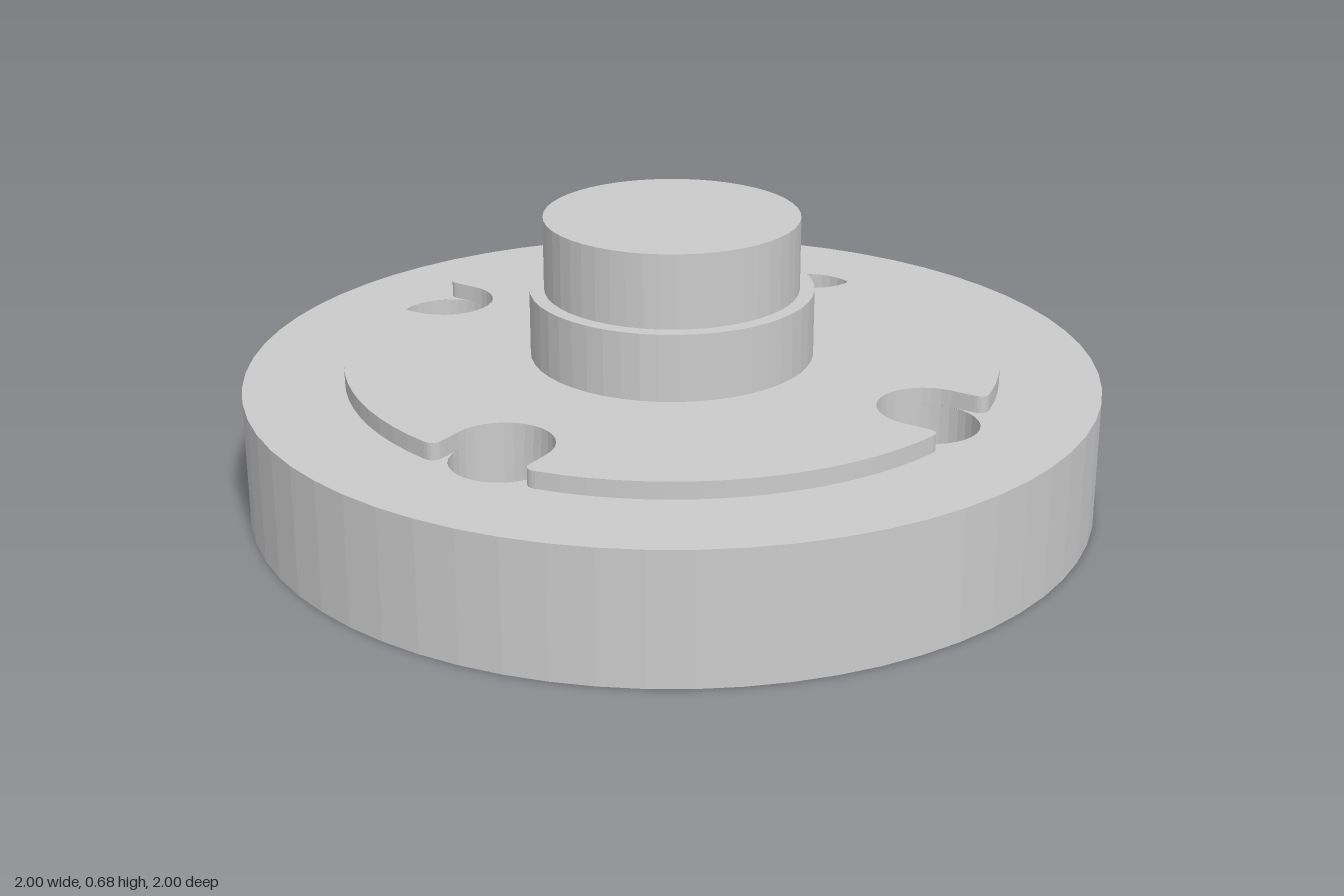
import * as THREE from 'three';

const TOP = 0.305, PLATE_TOP = 0.345, HOLE_FLOOR = 0.1;
const R_PLATE = 0.765, R_HOLE = 0.115, HOLE_DIST = 0.67, FILLET = 0.03;
const ANGLES = [0, 1, 2, 3].map(k => THREE.MathUtils.degToRad(9.9 + 90 * k));

const material = new THREE.MeshStandardMaterial({ color: 0xcccccc, flatShading: true });

function add(group, name, geometry) {
  const mesh = new THREE.Mesh(geometry, material);
  mesh.name = name;
  group.add(mesh);
  return mesh;
}

function lathe(profile, segments) {
  return new THREE.LatheGeometry(profile.map(([x, y]) => new THREE.Vector2(x, y)), segments);
}

// Half outline of a notch: plate rim, rounded corner, then straight side to the hole
function notchSide(side) {
  const corner = Math.sqrt(R_PLATE ** 2 - R_HOLE ** 2);
  const vRim = R_HOLE + FILLET;
  const curve = new THREE.QuadraticBezierCurve(
    new THREE.Vector2(Math.sqrt(R_PLATE ** 2 - vRim ** 2), side * vRim),
    new THREE.Vector2(corner, side * R_HOLE),
    new THREE.Vector2(corner - FILLET, side * R_HOLE));
  return curve.getPoints(6);
}

// Disc outline with four round-ended notches
function plateShape() {
  const points = [];
  const origin = new THREE.Vector2();
  const half = Math.asin((R_HOLE + FILLET) / R_PLATE);
  for (const a of ANGLES) {
    const notch = notchSide(-1);
    for (let i = 0; i <= 16; i++) {
      const t = -Math.PI / 2 - Math.PI * i / 16;
      notch.push(new THREE.Vector2(HOLE_DIST + R_HOLE * Math.cos(t), R_HOLE * Math.sin(t)));
    }
    notch.push(...notchSide(1).reverse());
    notch.forEach(p => points.push(p.rotateAround(origin, a)));
    const sweep = Math.PI / 2 - 2 * half;
    for (let i = 1; i < 16; i++) {
      const t = a + half + sweep * i / 16;
      points.push(new THREE.Vector2(R_PLATE * Math.cos(t), R_PLATE * Math.sin(t)));
    }
  }
  return new THREE.Shape(points);
}

export function createModel() {
  const model = new THREE.Group();
  model.name = 'flangedHub';

  // Thick disc: recess in the underside, bottom ring and outer wall
  add(model, 'baseDisc', lathe([[0, 0.243], [0.5, 0.243], [0.5, 0], [1, 0], [1, TOP]], 64));

  // Upper face of the disc, pierced by the four holes
  const face = new THREE.Shape().absarc(0, 0, 1, 0, Math.PI * 2);
  for (const a of ANGLES) {
    face.holes.push(new THREE.Path().absarc(
      HOLE_DIST * Math.cos(a), HOLE_DIST * Math.sin(a), R_HOLE, 0, Math.PI * 2, true));
  }
  add(model, 'baseTopFace', new THREE.ShapeGeometry(face, 32).rotateX(-Math.PI / 2).translate(0, TOP, 0));

  // Blind holes
  for (const a of ANGLES) {
    const hole = add(model, 'blindHole', lathe([[R_HOLE, TOP], [R_HOLE, HOLE_FLOOR], [0, HOLE_FLOOR]], 32));
    hole.position.set(HOLE_DIST * Math.cos(a), 0, -HOLE_DIST * Math.sin(a));
  }

  // Thin raised plate with notches opening outward from the holes
  add(model, 'raisedPlate', new THREE.ExtrudeGeometry(plateShape(), { depth: PLATE_TOP - TOP, bevelEnabled: false })
    .rotateX(-Math.PI / 2).translate(0, TOP, 0));

  // Stepped central hub
  add(model, 'hub', lathe([[0.332, PLATE_TOP], [0.332, 0.503], [0.298, 0.503], [0.298, 0.677], [0, 0.677]], 48));

  return model;
}
